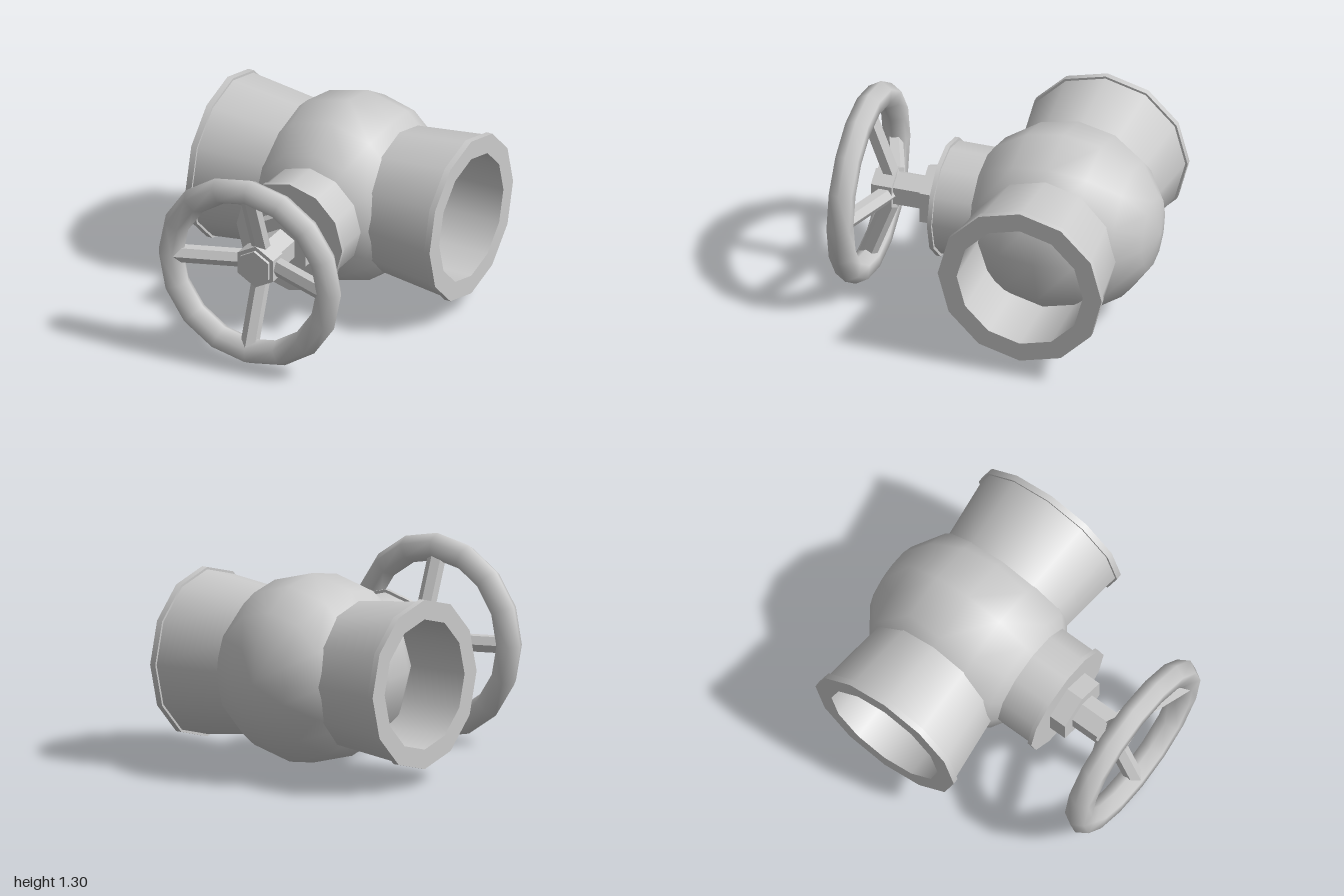
import * as THREE from 'three';
import { mergeGeometries } from 'three/addons/utils/BufferGeometryUtils.js';

const AXIS_Y = 0.655;
const BODY_Z = -0.36;

export function createModel() {
  const group = new THREE.Group();
  const smooth = new THREE.MeshStandardMaterial({ color: 0xcccccc });
  const flat = new THREE.MeshStandardMaterial({ color: 0xcccccc, flatShading: true });

  function add(name, geometry, material, z = 0, parent = group) {
    const mesh = new THREE.Mesh(geometry, material);
    mesh.name = name;
    mesh.position.set(0, AXIS_Y, z);
    parent.add(mesh);
    return mesh;
  }

  // Turned shape, smooth around the axis and sharp at every profile corner
  function turned(profile, sides) {
    const bands = [];
    for (let i = 0; i < profile.length - 1; i++) {
      const pair = [profile[i], profile[i + 1]].map(([r, h]) => new THREE.Vector2(r, h));
      bands.push(new THREE.LatheGeometry(pair, sides));
    }
    return mergeGeometries(bands);
  }

  // Prism along z from z0 to z1, with a corner at the top
  function prism(name, radius, z0, z1, sides, material) {
    const g = new THREE.CylinderGeometry(radius, radius, z1 - z0, sides).rotateX(Math.PI / 2);
    return add(name, g, material, (z0 + z1) / 2);
  }

  // Valve body: slightly elongated ball with its poles along z
  const ball = new THREE.SphereGeometry(1, 12, 8).rotateX(Math.PI / 2).scale(0.605, 0.605, 0.64);
  add('valveBody', ball, smooth, BODY_Z);

  // Flared pipe ends with a thin lip and an open bore
  const pipeProfile = [
    [0.415, 0.3], [0.463, 0.3], [0.525, 0.83], [0.54, 0.83],
    [0.54, 0.87], [0.415, 0.87], [0.415, 0.3],
  ];
  for (const [name, turn] of [['leftPipe', 0], ['rightPipe', Math.PI]]) {
    const pipe = turned(pipeProfile, 12).rotateZ(-Math.PI / 2).rotateY(turn);
    add(name, pipe, smooth, BODY_Z);
  }

  // Bonnet, packing nut and stem
  prism('bonnet', 0.358, 0.1, 0.4, 12, smooth);
  prism('bonnetFlange', 0.377, 0.387, 0.415, 12, smooth);
  prism('packingNut', 0.208, 0.41, 0.53, 6, flat);
  prism('stem', 0.117, 0.52, 0.875, 6, flat);
  prism('wheelHub', 0.145, 0.73, 0.855, 6, flat);

  // Handwheel rim
  add('wheelRim', new THREE.TorusGeometry(0.563, 0.0866, 6, 16), smooth, 0.925);

  // Four hexagonal spokes sloping forward from the hub to the rim
  const inner = new THREE.Vector2(0.06, 0.76);
  const outer = new THREE.Vector2(0.53, 0.934);
  const length = inner.distanceTo(outer);
  const tilt = Math.atan2(outer.y - inner.y, outer.x - inner.x);
  for (let i = 0; i < 4; i++) {
    const g = new THREE.CylinderGeometry(0.058, 0.058, length, 6);
    g.rotateX(tilt);
    g.translate(0, (inner.x + outer.x) / 2, (inner.y + outer.y) / 2);
    g.rotateZ(i * Math.PI / 2);
    add('wheelSpoke' + (i + 1), g, flat);
  }

  return group;
}
